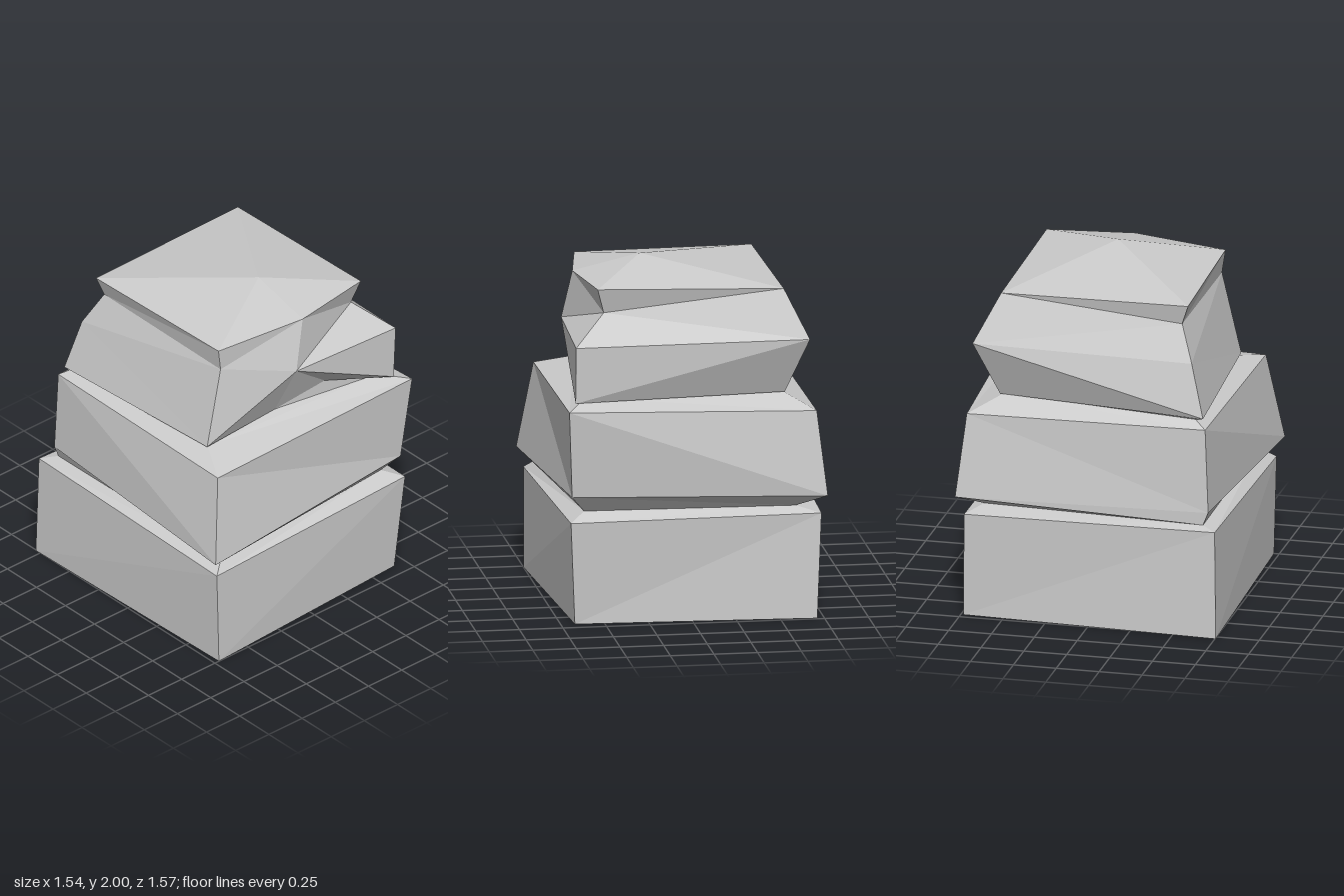
import * as THREE from 'three';

const material = new THREE.MeshStandardMaterial({ color: 0xcccccc, flatShading: true, side: THREE.DoubleSide });

// Builds a faceted mesh from a list of triangles, each three [x, y, z] corners.
function facets(name, triangles) {
  const geometry = new THREE.BufferGeometry();
  geometry.setAttribute('position', new THREE.Float32BufferAttribute(triangles.flat(2), 3));
  geometry.computeVertexNormals();
  const mesh = new THREE.Mesh(geometry, material);
  mesh.name = name;
  return mesh;
}

// Two triangles for a wall; flip picks the other diagonal.
function quad(a, b, c, d, flip = false) {
  return flip ? [[a, b, d], [b, c, d]] : [[a, b, c], [a, c, d]];
}

// Four walls between each pair of neighbouring rings.
function stack(rings, flip) {
  const out = [];
  for (let r = 0; r + 1 < rings.length; r++) {
    for (let i = 0; i < 4; i++) {
      const j = (i + 1) % 4;
      out.push(...quad(rings[r][i], rings[r][j], rings[r + 1][j], rings[r + 1][i], flip));
    }
  }
  return out;
}

export function createModel() {
  const group = new THREE.Group();
  group.name = 'stackedRock';

  // Ring corners run -x+z, +x+z, +x-z, -x-z.
  const foot = [[-0.72, 0, 0.75], [0.67, 0, 0.67], [0.735, 0, -0.71], [-0.755, 0, -0.785]];
  const footTop = [[-0.735, 0.585, 0.75], [0.725, 0.6, 0.7], [0.725, 0.61, -0.735], [-0.745, 0.63, -0.77]];
  const neck = [[-0.65, 0.645, 0.69], [0.62, 0.645, 0.61], [0.64, 0.64, -0.6], [-0.66, 0.645, -0.7]];
  const belly = [[-0.775, 0.695, 0.785], [0.7, 0.745, 0.69], [0.77, 0.72, -0.765], [-0.69, 0.72, -0.7]];
  const shoulder = [[-0.685, 1.205, 0.7], [0.765, 1.255, 0.715], [0.715, 1.205, -0.71], [-0.67, 1.21, -0.69]];
  const collar = [[-0.57, 1.265, 0.48], [0.6, 1.3, 0.6], [0.54, 1.285, -0.54], [-0.6, 1.25, -0.63]];
  const chin = [[-0.59, 1.275, 0.5], [0.67, 1.285, 0.665], [0.56, 1.285, -0.55], [-0.65, 1.265, -0.66]];
  const rim = [[-0.5, 1.885, 0.495], [0.55, 1.915, 0.52], [0.555, 1.885, -0.545], [-0.53, 1.885, -0.525]];

  group.add(facets('lowerBlock', stack([foot, footTop, neck], false)));
  group.add(facets('middleBlock', stack([neck, belly, shoulder, collar], true)));

  // Upper block: a bulging front peak over a notch, with undercuts below the rim.
  const [fl, fr, br, bl] = chin;
  const [rfl, rfr, rbr, rbl] = rim;
  const peak = [-0.04, 1.62, 0.64], rimMid = [0.05, 1.91, 0.59];
  const notch = [0.25, 1.385, 0.55], notchIn = [-0.08, 1.31, 0.5];
  const flTop = [-0.48, 1.75, 0.49];
  const frMid = [0.685, 1.61, 0.665], frTop = [0.51, 1.77, 0.48];
  const brMid = [0.69, 1.615, -0.675];
  const blMid = [-0.57, 1.57, -0.6], blTop = [-0.49, 1.77, -0.5];

  group.add(facets('upperBlock', [
    // front
    [fl, peak, flTop], [fl, notchIn, peak], [notchIn, notch, peak],
    [notch, fr, peak], [fr, frMid, peak], [peak, frMid, frTop],
    [flTop, peak, rimMid], [flTop, rimMid, rfl], [peak, frTop, rimMid], [frTop, rfr, rimMid],
    // +x side
    ...quad(fr, br, brMid, frMid), [frMid, brMid, frTop],
    [frTop, brMid, rbr], [frTop, rbr, rfr],
    // back
    ...quad(br, bl, blMid, brMid, true), [brMid, blMid, blTop], [brMid, blTop, rbr], [blTop, rbl, rbr],
    // -x side
    [bl, fl, blMid], [blMid, fl, flTop], [blMid, flTop, blTop], ...quad(blTop, flTop, rfl, rbl),
    // underside
    [collar[0], collar[1], notchIn], [collar[0], notchIn, fl],
    [collar[1], fr, notch], [collar[1], notch, notchIn],
    ...[1, 2, 3].flatMap((i) => {
      const j = (i + 1) % 4;
      return quad(collar[i], collar[j], chin[j], chin[i]);
    }),
  ]));

  // Low pointed top
  const apex = [0.055, 2, 0.205];
  const edge = [rfl, rimMid, rfr, rbr, rbl];
  group.add(facets('cap', edge.map((p, i) => [p, edge[(i + 1) % edge.length], apex])));

  return group;
}
